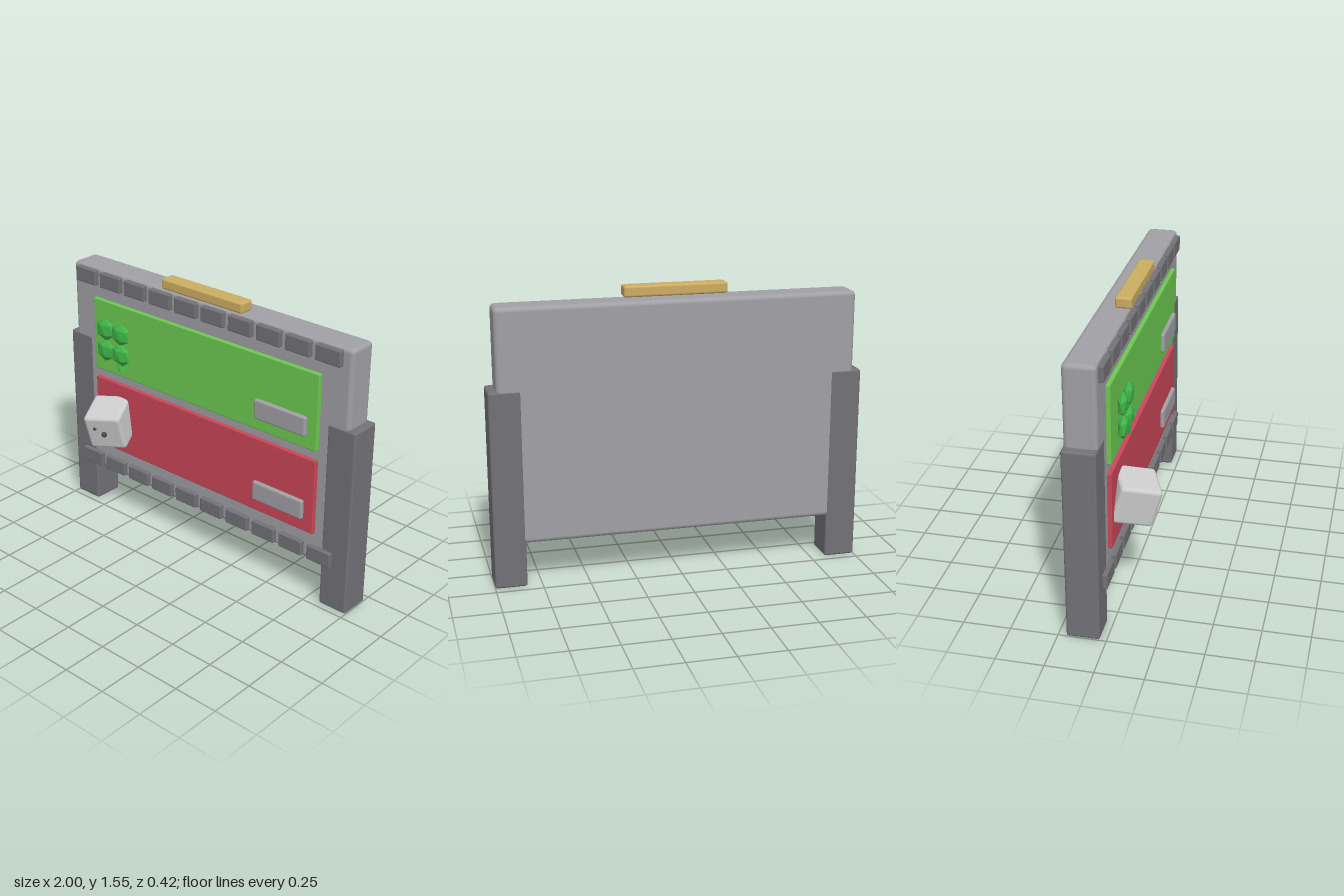
import * as THREE from 'three';
import { RoundedBoxGeometry } from 'three/addons/geometries/RoundedBoxGeometry.js';

const mat = (name, color, flatShading = false) => {
  const m = new THREE.MeshStandardMaterial({ color, flatShading });
  m.name = name;
  return m;
};

export function createModel() {
  const gray = mat('lightGray', 0xa0a0a5);
  const dark = mat('darkGray', 0x727277);
  const green = mat('panelGreen', 0x6cc850);
  const red = mat('panelRed', 0xc94657);
  const gold = mat('gold', 0xccad62);
  const leafGreen = mat('cloverGreen', 0x40b848, true);
  const white = mat('diePaleGray', 0xcecece);
  const black = mat('pipGray', 0x4c4c4e, true);

  const root = new THREE.Group();
  root.name = 'signBoard';

  // Softened block given by its minimum and maximum corners
  const block = (name, material, [x0, y0, z0], [x1, y1, z1], radius) => {
    const mesh = new THREE.Mesh(
      new RoundedBoxGeometry(x1 - x0, y1 - y0, z1 - z0, 2, radius), material);
    mesh.position.set((x0 + x1) / 2, (y0 + y1) / 2, (z0 + z1) / 2);
    mesh.name = name;
    root.add(mesh);
    return mesh;
  };

  // Board, posts and handle
  block('board', gray, [-0.957, 0.237, -0.205], [0.957, 1.49, -0.036], 0.025);
  block('rightPost', dark, [-1, 0, -0.207], [-0.83, 1.062, -0.034], 0.012);
  block('leftPost', dark, [0.83, 0, -0.207], [1, 1.062, -0.034], 0.012);
  block('handle', gold, [-0.278, 1.493, -0.112], [0.275, 1.552, -0.026], 0.012);

  // Rows of trim tiles
  for (const [row, y0, y1] of [['top', 1.39, 1.477], ['bottom', 0.252, 0.338]]) {
    for (let i = 0; i < 10; i++) {
      const x = -0.84 + i * 0.185;
      block(`${row}Tile${i + 1}`, dark, [x - 0.076, y0, -0.05], [x + 0.076, y1, -0.01], 0.008);
    }
  }

  // Coloured panels, each with a small plaque
  for (const [name, material, y0, y1, plaqueY] of [
    ['green', green, 0.892, 1.318, 1.016],
    ['red', red, 0.41, 0.838, 0.536],
  ]) {
    block(`${name}Panel`, material, [-0.786, y0, -0.045], [0.782, y1, -0.014], 0.006);
    block(`${name}Plaque`, gray, [0.389, plaqueY - 0.056, -0.03], [0.72, plaqueY + 0.056, 0.006], 0.012);
  }

  // Clover: four faceted leaves and a stem
  const clover = new THREE.Group();
  clover.name = 'clover';
  clover.position.set(-0.608, 1.106, 0.02);
  const leafGeo = new THREE.IcosahedronGeometry(0.07, 0);
  leafGeo.rotateZ(0.5536);
  leafGeo.scale(1, 0.95, 0.38);
  for (const sx of [-1, 1]) {
    for (const sy of [-1, 1]) {
      const leaf = new THREE.Mesh(leafGeo, leafGreen);
      leaf.position.set(sx * 0.058, sy * 0.062, 0);
      leaf.rotation.z = -sx * sy * 0.06;
      leaf.name = 'cloverLeaf';
      clover.add(leaf);
    }
  }
  const stem = new THREE.Mesh(new THREE.CylinderGeometry(0.009, 0.015, 0.13, 6), leafGreen);
  stem.position.set(0.037, -0.092, 0);
  stem.rotation.z = 0.4;
  stem.name = 'cloverStem';
  clover.add(stem);
  root.add(clover);

  // Tilted die with pips on its front face
  const die = new THREE.Group();
  die.name = 'die';
  die.position.set(-0.61, 0.627, 0.055);
  die.rotation.set(0.28, 0.42, 0);
  const cube = new THREE.Mesh(new RoundedBoxGeometry(0.22, 0.22, 0.22, 2, 0.022), white);
  cube.name = 'dieCube';
  die.add(cube);
  for (const [x, y, z, r] of [[0, 0, 0.114, 0.017], [-0.052, 0.034, 0.107, 0.012]]) {
    const pip = new THREE.Mesh(new THREE.IcosahedronGeometry(r, 1), black);
    pip.position.set(x, y, z);
    pip.name = 'diePip';
    die.add(pip);
  }
  root.add(die);

  return root;
}
